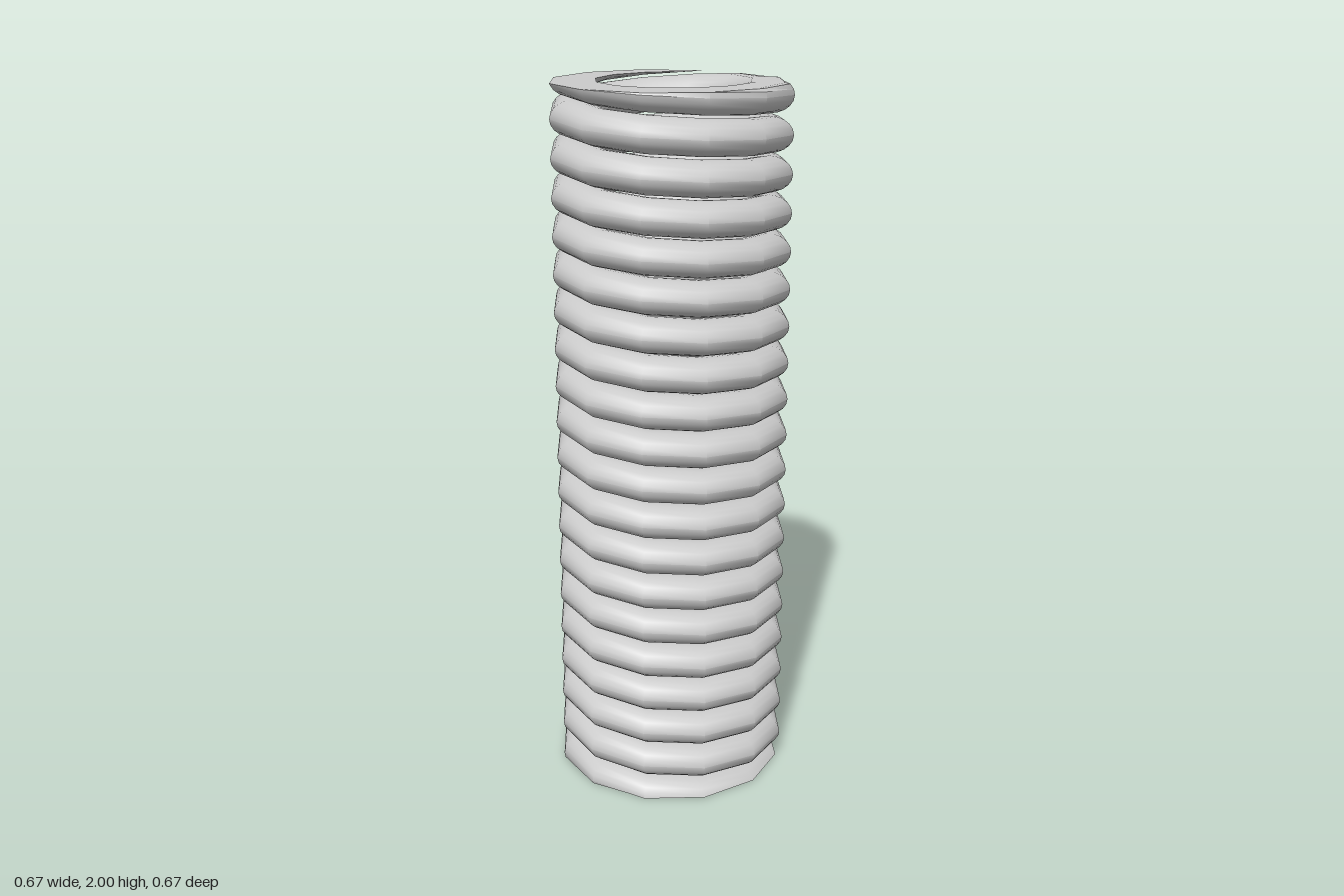
import * as THREE from 'three';
import { toCreasedNormals } from 'three/addons/utils/BufferGeometryUtils.js';

const HEIGHT = 2, PITCH = 0.105, COIL_R = 0.27; // spring
const WIRE_W = 0.066, WIRE_H = 0.049;           // half width and half height of the wire
const SIDES = 20, STEPS = 12;                   // around the wire, per turn of the coil
const BASE_Y = 0.078;                           // wire centre at turn 0, on the +x side

// Cross-section of the wire at a given turn, ground flat at y = 0 and y = HEIGHT
function wireRing(turn) {
  const angle = turn * Math.PI * 2;
  const centre = BASE_Y + PITCH * turn;
  const chord = (d) => WIRE_W * Math.sqrt(Math.max(0, 1 - (d / WIRE_H) ** 2));
  const ring = [];
  for (let j = 0; j < SIDES; j++) {
    const phi = (j / SIDES) * Math.PI * 2;
    let u = WIRE_W * Math.cos(phi);
    let y = centre + WIRE_H * Math.sin(phi);
    if (y > HEIGHT || y < 0) {
      y = y > HEIGHT ? HEIGHT : 0;
      const w = chord(y - centre);
      u = THREE.MathUtils.clamp(u, -w, w);
    }
    const r = COIL_R + u;
    ring.push(r * Math.cos(angle), y, r * Math.sin(angle));
  }
  return ring;
}

function springGeometry() {
  // The wire runs out to nothing where it leaves the two ground ends
  const first = (-WIRE_H - BASE_Y) / PITCH;
  const last = (HEIGHT + WIRE_H - BASE_Y) / PITCH;
  const turns = [first];
  for (let k = Math.ceil(first * STEPS); (k + 0.05) / STEPS < last; k++) turns.push((k + 0.05) / STEPS);
  turns.push(last);

  const positions = turns.flatMap(wireRing);
  const index = [];
  for (let i = 0; i < turns.length - 1; i++) {
    for (let j = 0; j < SIDES; j++) {
      const a = i * SIDES + j, b = i * SIDES + ((j + 1) % SIDES);
      index.push(a, b, b + SIDES, a, b + SIDES, a + SIDES);
    }
  }
  const geometry = new THREE.BufferGeometry();
  geometry.setAttribute('position', new THREE.Float32BufferAttribute(positions, 3));
  geometry.setIndex(index);
  // Smooth wire, sharp edges round the ground ends
  return toCreasedNormals(geometry, THREE.MathUtils.degToRad(36));
}

export function createModel() {
  const group = new THREE.Group();
  group.name = 'coilSpring';
  const spring = new THREE.Mesh(springGeometry(), new THREE.MeshStandardMaterial({ color: 0xcccccc }));
  spring.name = 'springWire';
  group.add(spring);
  return group;
}
